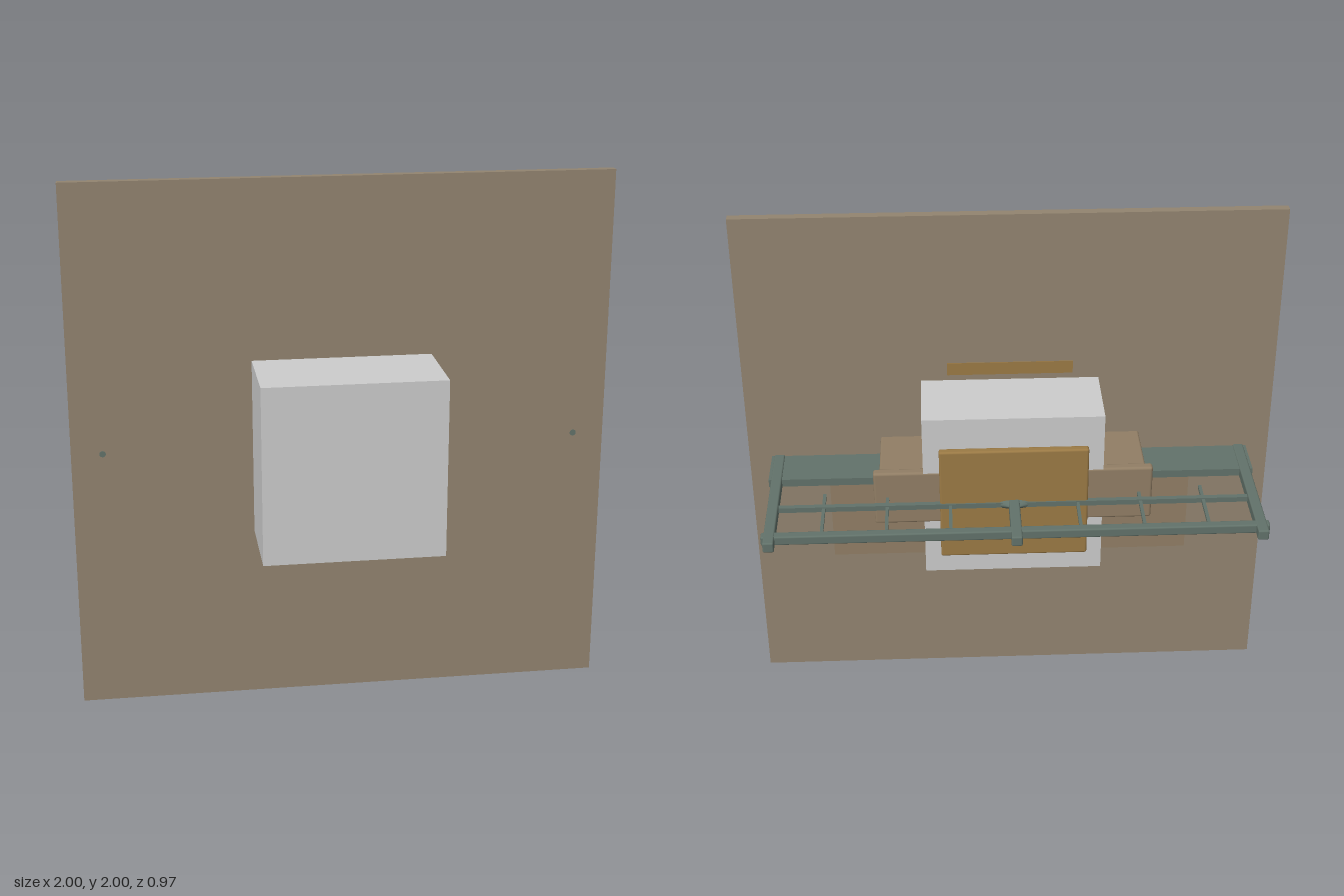
import * as THREE from 'three';
import { RoundedBoxGeometry } from 'three/addons/geometries/RoundedBoxGeometry.js';

const mat = (name, color) => {
  const m = new THREE.MeshStandardMaterial({ color });
  m.name = name;
  return m;
};

export function createModel() {
  const model = new THREE.Group();
  const boardBrown = mat('boardBrown', 0x928470);
  const wallBrown = mat('wallBrown', 0x917e65);
  const ochre = mat('ochre', 0x9b7a45);
  const green = mat('greyGreen', 0x62726a);
  const grey = mat('lightGrey', 0xcccccc);

  // Box given by its limits on each axis, with an optional softened edge
  const box = (name, m, [x0, x1], [y0, y1], [z0, z1], bevel = 0) => {
    const s = [x1 - x0, y1 - y0, z1 - z0];
    const geo = bevel ? new RoundedBoxGeometry(...s, 2, bevel) : new THREE.BoxGeometry(...s);
    const mesh = new THREE.Mesh(geo, m);
    mesh.name = name;
    mesh.position.set((x0 + x1) / 2, (y0 + y1) / 2, (z0 + z1) / 2);
    model.add(mesh);
    return mesh;
  };

  // Large board and the block through its middle
  box('board', boardBrown, [-1, 1], [0, 2], [0.11, 0.145]);
  box('block', grey, [-0.333, 0.333], [0.667, 1.333], [-0.183, 0.483]);

  // Thin plates on the back of the board
  box('lowerPlate', wallBrown, [-0.7, 0.7], [0.55, 0.935], [0.102, 0.111]);
  box('upperPlate', ochre, [-0.235, 0.235], [1.36, 1.41], [0.099, 0.102]);

  // Central body with its rim, underside lip and stepped panel
  box('body', wallBrown, [-0.495, 0.495], [0.91, 1.09], [-0.16, 0.12], 0.008);
  box('rim', wallBrown, [-0.517, 0.517], [0.89, 1.11], [-0.185, -0.147], 0.01);
  box('undersideLip', wallBrown, [-0.42, 0.42], [0.902, 0.915], [-0.03, 0.015]);
  box('panelBacking', ochre, [-0.245, 0.245], [0.79, 1.21], [-0.212, -0.18]);
  box('panel', ochre, [-0.273, 0.273], [0.773, 1.23], [-0.241, -0.21], 0.008);

  // Railing: side posts, low infill plates and bars, mirrored
  for (const s of [-1, 1]) {
    const span = (a, b) => (s > 0 ? [a, b] : [-b, -a]);
    box('sidePost', green, span(0.865, 0.905), [0.98, 1.02], [-0.483, 0.14], 0.006);
    box('infillPlate', green, span(0.48, 0.915), [0.985, 1.015], [-0.06, 0.112]);
    for (const x of [0.235, 0.467, 0.7])
      box('railBar', green, span(x - 0.006, x + 0.006), [0.994, 1.006], [-0.43, -0.15]);
    const peg = new THREE.Mesh(new THREE.CylinderGeometry(0.012, 0.012, 0.03, 12), green);
    peg.name = 'postPeg';
    peg.rotation.x = Math.PI / 2;
    peg.position.set(s * 0.885, 1, 0.1315);
    model.add(peg);
  }
  box('outerRail', green, [-0.915, 0.915], [0.982, 1.018], [-0.442, -0.407], 0.006);
  box('innerRail', green, [-0.87, 0.87], [0.99, 1.01], [-0.246, -0.226]);

  // Centre post with a flared foot
  box('centrePost', green, [-0.02, 0.02], [0.98, 1.02], [-0.483, -0.235], 0.006);
  const foot = new THREE.Mesh(new THREE.CylinderGeometry(0.02, 0.065, 0.018, 16), green);
  foot.name = 'centrePostFoot';
  foot.rotation.x = -Math.PI / 2;
  foot.scale.z = 0.3;
  foot.position.set(0, 1, -0.25);
  model.add(foot);

  return model;
}
